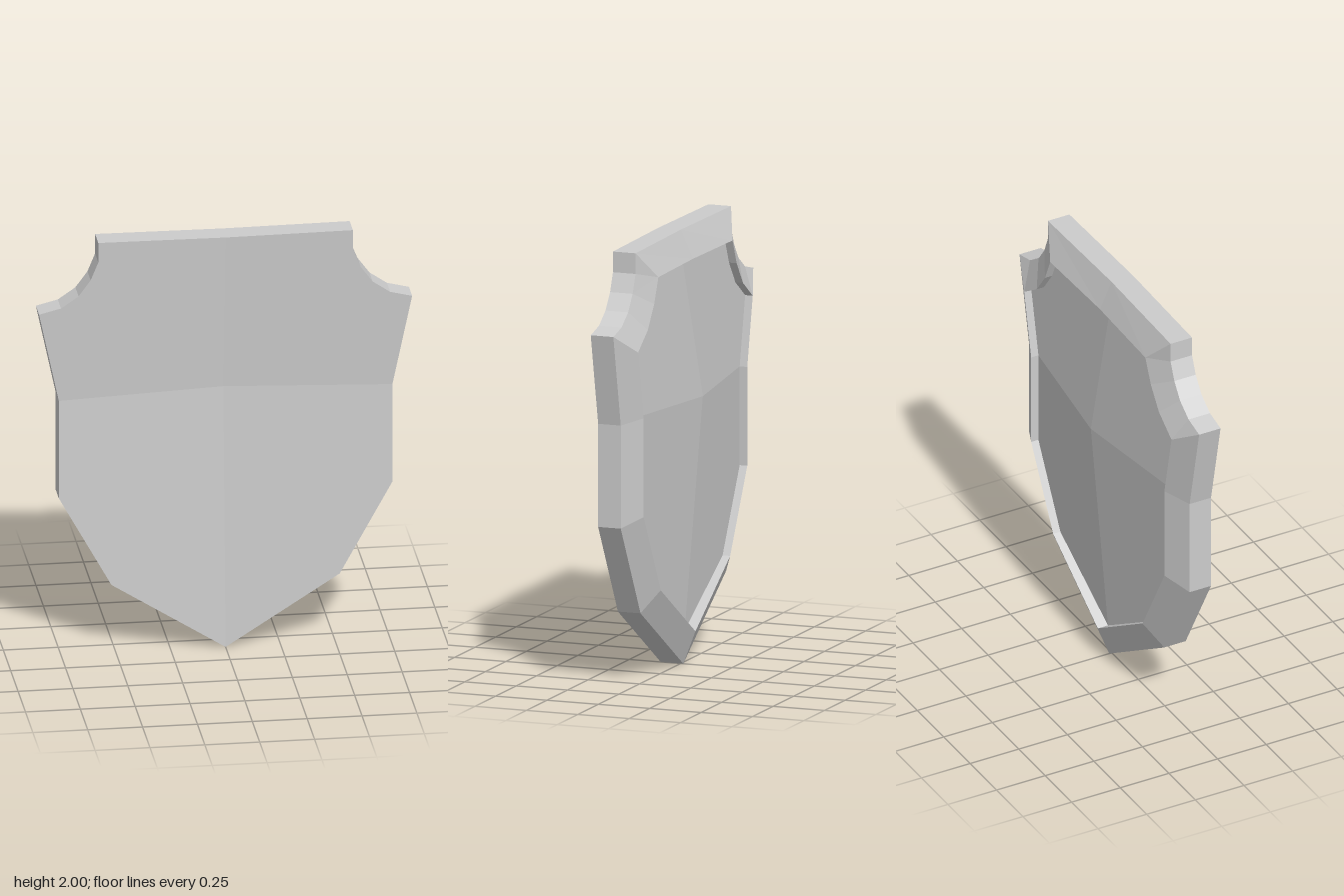
import * as THREE from 'three';

// Right half of the outline, clockwise seen from +z, then mirrored
const half = [[0, 2], [0.58, 2], [0.58, 1.905], [0.615, 1.82], [0.67, 1.745], [0.75, 1.69],
  [0.85, 1.665], [0.76, 1.24], [0.76, 0.765], [0.52, 0.33], [0, 0]];
const outline = [...half, ...half.slice(1, -1).reverse().map(([x, y]) => [-x, y])]
  .map(([x, y]) => new THREE.Vector2(x, y));
const N = outline.length;
const BEVEL = 0.13;
const material = new THREE.MeshStandardMaterial({ color: 0xcccccc });
const flatMaterial = new THREE.MeshStandardMaterial({ color: 0xcccccc, flatShading: true });

// Mitred inward offset of a clockwise outline
function inset(points, d) {
  const inward = (a, b) => new THREE.Vector2(b.y - a.y, a.x - b.x).normalize();
  return points.map((p, i) => {
    const n1 = inward(points[(i + N - 1) % N], p);
    const n2 = inward(p, points[(i + 1) % N]);
    const q = p.clone().addScaledVector(n1.clone().add(n2), d / (1 + n1.dot(n2)));
    q.y = Math.min(q.y, 2 - d);
    return q;
  });
}

// Lift an outline to depth z; the middle of the top edge bows forward
const ring = (points, zAt) => points.map((p, i) =>
  new THREE.Vector3(p.x, p.y, zAt(i) + (i === 0 ? 0.011 : 0)));

function makeMesh(name, points, index, mat) {
  const geo = new THREE.BufferGeometry().setFromPoints(points);
  geo.setIndex(index);
  geo.computeVertexNormals();
  const mesh = new THREE.Mesh(geo, mat);
  mesh.name = name;
  return mesh;
}

// Strips of quads between successive rings
function loft(name, rings) {
  const index = [];
  for (let r = 0; r < rings.length - 1; r++) {
    for (let i = 0; i < N; i++) {
      const j = (i + 1) % N;
      const a = r * N, b = a + N;
      index.push(a + i, a + j, b + i, a + j, b + j, b + i);
    }
  }
  return makeMesh(name, rings.flat(), index, flatMaterial);
}

// Four evenly shaded quadrants meeting in creases at the centre point
function quadrants(name, edge, centre, facesFront) {
  const group = new THREE.Group();
  group.name = name;
  const corners = [0, 7, 10, 13, N];
  for (let q = 0; q < 4; q++) {
    const pts = [centre];
    for (let i = corners[q]; i <= corners[q + 1]; i++) pts.push(edge[i % N]);
    const index = [];
    for (let i = 1; i < pts.length - 1; i++) index.push(0, ...(facesFront ? [i + 1, i] : [i, i + 1]));
    const mesh = makeMesh(name + 'Quadrant', pts, index, material);
    // The centre's normal averages the whole quadrant, so share it
    const normals = mesh.geometry.attributes.normal;
    const n = new THREE.Vector3().fromBufferAttribute(normals, 0);
    for (let i = 1; i < normals.count; i++) normals.setXYZ(i, n.x, n.y, n.z);
    group.add(mesh);
  }
  return group;
}

export function createModel() {
  const model = new THREE.Group();
  model.name = 'shield';
  const inner = inset(outline, BEVEL);
  const frontEdge = ring(outline, () => 0.097);
  const backEdge = ring(outline, () => -0.013);
  const bevelEdge = ring(inner, () => -0.072);
  const panelEdge = ring(inner, (i) => (i === 0 ? -0.018 : i === 10 ? -0.02 : -0.035));

  // Side wall, bevel and inner lip
  model.add(loft('rim', [frontEdge, backEdge, bevelEdge, panelEdge]));
  // Dished face on one side, raised pyramid panel on the other
  model.add(quadrants('hollowFace', frontEdge, new THREE.Vector3(0, 1.24, 0.02), true));
  model.add(quadrants('raisedPanel', panelEdge, new THREE.Vector3(0, 1.24, -0.108), false));
  return model;
}
